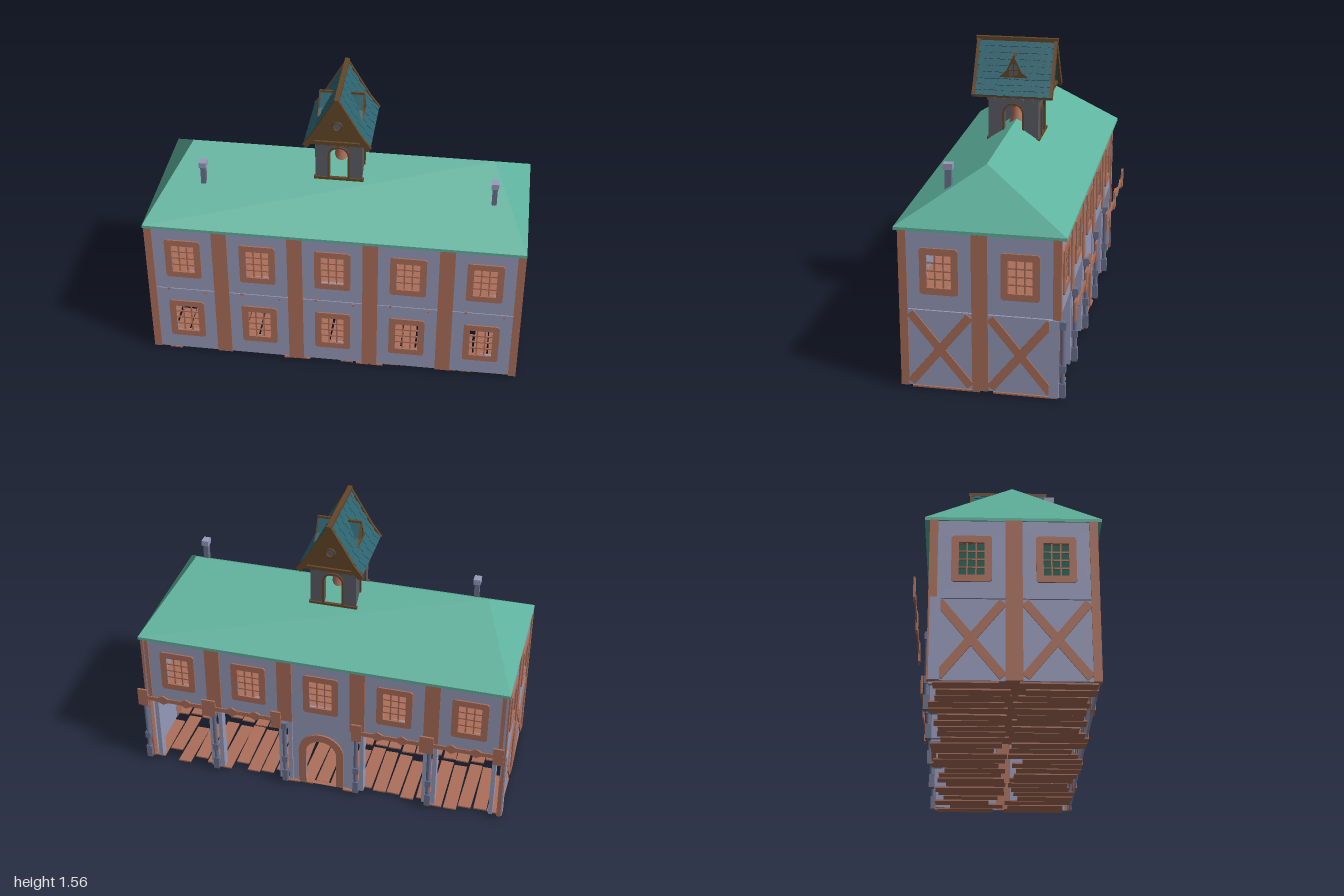
import * as THREE from 'three';

const mat = (name, color) => {
  const m = new THREE.MeshStandardMaterial({ color });
  m.name = name;
  return m;
};
const plaster = mat('lavender plaster', 0x979bbb);
const wood = mat('red timber', 0xac6f5a);
const roofGreen = mat('green roof', 0x5fb49f);
const stone = mat('tower stone', 0x5c5d66);
const slate = mat('teal shingle', 0x2c626e);
const darkWood = mat('dark wood', 0x644728);
const pipeGrey = mat('column grey', 0x6b718c);
const bellCopper = mat('bell copper', 0xb57460);

const TILE = 0.397, LOW = 0.02, MID = 0.43, TOP = 0.84, CX = -0.008, CZ = 0.022;

function add(parent, name, geo, material, x = 0, y = 0, z = 0) {
  const m = new THREE.Mesh(geo, material);
  m.name = name;
  m.position.set(x, y, z);
  parent.add(m);
  return m;
}
const box = (p, name, material, w, h, d, x, y, z) =>
  add(p, name, new THREE.BoxGeometry(w, h, d), material, x, y, z);
function group(parent, name) {
  const g = new THREE.Group();
  g.name = name;
  parent.add(g);
  return g;
}
const extrude = (shape, depth) =>
  new THREE.ExtrudeGeometry(shape, { depth, bevelEnabled: false, curveSegments: 8 });
const poly = (pts, Type = THREE.Shape) => new Type(pts.map(([x, y]) => new THREE.Vector2(x, y)));
const rect = (w, h, cx = 0, cy = 0, Type = THREE.Shape) => poly([
  [cx - w / 2, cy - h / 2], [cx + w / 2, cy - h / 2], [cx + w / 2, cy + h / 2], [cx - w / 2, cy + h / 2]], Type);
// Upright opening with a round head, standing on y0
function arch(w, h, y0, Type = THREE.Shape) {
  const s = new Type(), r = w / 2;
  s.moveTo(-r, y0);
  s.lineTo(r, y0);
  s.lineTo(r, y0 + h - r);
  s.absarc(0, y0 + h - r, r, 0, Math.PI, false);
  s.lineTo(-r, y0);
  return s;
}
function withHole(shape, hole) {
  shape.holes.push(hole);
  return shape;
}

// Plaster panel with a framed lattice window
function windowPanel(parent, x, y0, y1, wy) {
  const g = group(parent, 'windowPanel');
  g.position.x = x;
  const panel = withHole(rect(TILE, y1 - y0, 0, (y0 + y1) / 2), rect(0.12, 0.17, 0, wy, THREE.Path));
  add(g, 'plasterWall', extrude(panel, 0.012), plaster, 0, 0, -0.02);
  const frame = withHole(poly([[-0.085, wy - 0.12], [0.085, wy - 0.12], [0.095, wy - 0.11], [0.095, wy + 0.11],
    [0.085, wy + 0.12], [-0.085, wy + 0.12], [-0.095, wy + 0.11], [-0.095, wy - 0.11]]),
  rect(0.12, 0.17, 0, wy, THREE.Path));
  add(g, 'windowFrame', extrude(frame, 0.022), wood, 0, 0, -0.022);
  for (const i of [-1, 1]) box(g, 'mullion', wood, 0.007, 0.17, 0.008, i * 0.021, wy, -0.012);
  for (const i of [-1, 0, 1]) box(g, 'glazingBar', wood, 0.12, 0.007, 0.008, 0, wy + i * 0.042, -0.012);
}

// One outer wall, facing local +z
function facade(parent, name, n, lower) {
  const g = group(parent, name);
  const y0 = lower === 'open' ? MID : LOW;
  for (let i = 0; i < n; i++) {
    const x = (i - (n - 1) / 2) * TILE;
    windowPanel(g, x, MID + 0.002, TOP, 0.635);
    if (lower === 'windows') {
      windowPanel(g, x, LOW, MID - 0.002, 0.23);
      box(g, 'peg', wood, 0.012, 0.012, 0.012, x - 0.09, 0.43, -0.006);
      box(g, 'peg', wood, 0.01, 0.01, 0.012, x + 0.11, 0.418, -0.006);
    } else if (lower === 'braces') {
      box(g, 'plasterWall', plaster, TILE, MID - LOW - 0.004, 0.012, x, (MID + LOW) / 2 - 0.001, -0.014);
      for (const s of [-1, 1]) {
        const b = box(g, 'crossBrace', wood, 0.475, 0.042, 0.009, x, 0.225, -0.006 + s * 0.0005);
        b.rotation.z = s * Math.atan2(0.39, 0.31);
      }
    }
  }
  for (let i = 0; i <= n; i++) {
    const edge = i === 0 ? 1 : i === n ? -1 : 0;
    box(g, 'timberPost', wood, edge ? 0.04 : 0.08, TOP - y0, 0.022,
      (i - n / 2) * TILE + edge * 0.02, (TOP + y0) / 2, -0.011);
  }
  return g;
}

// Ground arcade and hanging boards behind the house
function arcade(parent) {
  const g = group(parent, 'arcade');
  for (let i = 0; i <= 5; i++) {
    const x = (i - 2.5) * TILE + CX;
    const edge = i === 0 ? 0.03 : i === 5 ? -0.03 : 0;
    for (const s of [-1, 1])
      box(g, 'arcadePost', plaster, 0.022, MID - LOW, 0.05, x + edge + s * 0.026, (MID + LOW) / 2, -0.342);
    if (i === 0) continue;
    const shaft = new THREE.CylinderGeometry(0.012, 0.012, 0.4, 8);
    add(g, 'columnShaft', shaft, pipeGrey, x, 0.23, -0.385);
    for (const [y, h] of [[0.41, 0.04], [0.18, 0.04], [0.065, 0.075]])
      box(g, 'columnCollar', pipeGrey, 0.03, h, 0.03, x, y, -0.385);
  }
  const door = group(g, 'archedDoorway');
  door.position.set(CX, 0, -0.37);
  door.rotation.y = Math.PI;
  add(door, 'doorWall', extrude(withHole(rect(0.32, 0.41, 0, 0.225), arch(0.17, 0.3, 0.021, THREE.Path)), 0.012),
    plaster, 0, 0, -0.02);
  add(door, 'doorFrame', extrude(withHole(arch(0.25, 0.345, 0.02), arch(0.17, 0.3, 0.021, THREE.Path)), 0.024),
    wood, 0, 0, -0.022);
  for (const s of [-1, 1]) {
    const b = group(g, 'hangingBoards');
    b.position.set(s * 0.595, 0.485, -0.44);
    box(b, 'rail', wood, 0.78, 0.025, 0.006, 0, 0, 0);
    for (const x of [-0.375, 0, 0.375]) box(b, 'plate', wood, x ? 0.055 : 0.075, 0.105, 0.01, x, 0, 0);
    for (const x of [-0.26, -0.13, 0.13, 0.26])
      add(b, 'diamond', extrude(poly([[-0.05, 0], [0, -0.028], [0.05, 0], [0, 0.028]]), 0.008), wood, x, 0, -0.004);
  }
}

// Loose, uneven floor planks in ten bays
function floor(parent) {
  const g = group(parent, 'plankFloor');
  let seed = 7;
  const rnd = () => (seed = (seed * 16807) % 2147483647) / 2147483647;
  for (let i = 0; i < 5; i++) for (let j = 0; j < 2; j++) for (let k = 0; k < 5; k++) {
    const len = 0.3 + rnd() * 0.08;
    const x = (i - 2.5) * TILE + CX + (k + 0.5) * TILE / 5;
    const p = box(g, 'plank', wood, 0.07, 0.008, len, x, 0.008 + rnd() * 0.006,
      CZ + (j - 0.5) * TILE + (rnd() - 0.5) * (TILE - len));
    p.rotation.y = (rnd() - 0.5) * 0.06;
    p.rotation.z = (rnd() - 0.5) * 0.06;
  }
}

function mainRoof(parent) {
  const v = [-1, 0.853, 0.44, 0.985, 0.853, 0.44, 0.985, 0.853, -0.4, -1, 0.853, -0.4, -0.8, 1.13, 0.02, 0.79, 1.13, 0.02];
  const geo = new THREE.BufferGeometry();
  geo.setAttribute('position', new THREE.Float32BufferAttribute(v, 3));
  geo.setIndex([0, 1, 5, 0, 5, 4, 1, 2, 5, 2, 3, 4, 2, 4, 5, 3, 0, 4]);
  const flat = geo.toNonIndexed();
  flat.computeVertexNormals();
  add(parent, 'hippedRoof', flat, roofGreen);
  box(parent, 'eaves', roofGreen, 1.985, 0.016, 0.84, -0.0075, 0.845, 0.02);
  for (const x of [-0.71, 0.8]) {
    const c = group(parent, 'chimney');
    c.position.set(x, 0, 0.208);
    box(c, 'flue', pipeGrey, 0.026, 0.13, 0.032, 0, 1.045, 0);
    box(c, 'chimneyCap', plaster, 0.038, 0.03, 0.048, 0, 1.112, 0);
  }
}

function bellTower(parent) {
  const g = group(parent, 'bellTower');
  g.position.set(CX, 0, CZ);
  // Stone walls with arched openings on all four sides
  for (let i = 0; i < 4; i++) {
    const w = group(g, 'towerSide');
    w.rotation.y = i * Math.PI / 2;
    const off = i % 2 ? 0.122 : 0.132, width = i % 2 ? 0.264 : 0.244;
    add(w, 'towerWall', extrude(withHole(rect(width, 0.24, 0, 1.16), arch(0.095, 0.185, 1.045, THREE.Path)), 0.03),
      stone, 0, 0, off - 0.03);
    add(w, 'archTrim', extrude(withHole(arch(0.115, 0.195, 1.044), arch(0.095, 0.185, 1.045, THREE.Path)), 0.008),
      darkWood, 0, 0, off);
    box(w, 'baseBeam', darkWood, width + 0.016, 0.014, 0.016, 0, 1.044, off);
    box(w, 'topBeam', darkWood, width + 0.01, 0.014, 0.012, 0, 1.272, off);
    for (let k = -2; k <= 2; k++) {
      box(w, 'beamEnd', darkWood, 0.014, 0.012, 0.02, k * 0.046, 1.024, off);
      box(w, 'corbel', stone, 0.014, 0.018, 0.02, k * 0.05, 1.255, off);
    }
  }
  // Shaft and beams hanging inside the house
  box(g, 'innerShaft', stone, 0.11, 0.27, 0.1, 0, 0.69, 0);
  for (const y of [0.61, 0.65]) box(g, 'innerBeam', darkWood, 0.13, 0.016, 0.33, 0, y, 0);

  const bellProfile = [[0, 1.215], [0.02, 1.212], [0.029, 1.19], [0.032, 1.14], [0.046, 1.095], [0.041, 1.095], [0, 1.17]]
    .reverse().map(([x, y]) => new THREE.Vector2(x, y));
  add(g, 'bell', new THREE.LatheGeometry(bellProfile, 20), bellCopper);
  box(g, 'bellYoke', darkWood, 0.2, 0.016, 0.016, 0, 1.222, 0);

  // Steep shingled gable roof with slightly flared eaves
  const slope = [[0, 1.542], [0.115, 1.345], [0.16, 1.285]];
  const at = t => {
    const k = t < 0.72 ? 0 : 1, u = k ? (t - 0.72) / 0.28 : t / 0.72;
    return [0, 1].map(c => slope[k][c] + (slope[k + 1][c] - slope[k][c]) * u);
  };
  for (const s of [-1, 1]) {
    const side = group(g, 'roofSlope');
    if (s < 0) side.rotation.y = Math.PI;
    for (let k = 0; k < 2; k++) {
      const [a, b] = [slope[k], slope[k + 1]];
      const ang = Math.atan2(b[1] - a[1], b[0] - a[0]), len = Math.hypot(b[0] - a[0], b[1] - a[1]);
      const mx = (a[0] + b[0]) / 2, my = (a[1] + b[1]) / 2;
      box(side, 'roofDeck', slate, len, 0.012, 0.4, mx, my, 0).rotation.z = ang;
      for (const e of [-1, 1])
        box(side, 'bargeBoard', darkWood, len + 0.012, 0.03, 0.016, mx, my, e * 0.204).rotation.z = ang;
    }
    for (let r = 0; r < 9; r++) {
      const [x, y] = at((r + 0.5) / 9), [x2, y2] = at((r + 0.9) / 9);
      const ang = Math.atan2(y2 - y, x2 - x) + 0.1;
      for (let k = 0; k < 11; k++)
        box(side, 'shingle', slate, 0.036, 0.006, 0.033, x + 0.006, y + 0.005 - (k % 2) * 0.002,
          (k - 5) * 0.035 + (r % 2 ? 0.006 : -0.006)).rotation.z = ang;
    }
    box(side, 'eaveBoard', darkWood, 0.016, 0.012, 0.42, 0.158, 1.282, 0);
    // Dormer
    const d = group(side, 'dormer');
    d.rotation.y = Math.PI / 2;
    const tri = (w, y0, y1, T) => poly([[-w, y0], [w, y0], [w * 0.55, y0 + 0.03], [0, y1], [-w * 0.55, y0 + 0.03]], T);
    add(d, 'dormerRoof', extrude(tri(0.072, 1.378, 1.482), 0.085), slate, 0, 0, 0.025);
    add(d, 'dormerFrame', extrude(withHole(tri(0.075, 1.374, 1.49), arch(0.046, 0.06, 1.386, THREE.Path)), 0.008),
      darkWood, 0, 0, 0.109);
    add(d, 'dormerWindow', extrude(arch(0.046, 0.06, 1.386), 0.003), stone, 0, 0, 0.109);
    box(d, 'dormerMullion', darkWood, 0.005, 0.06, 0.006, 0, 1.416, 0.112);
    box(d, 'dormerBar', darkWood, 0.046, 0.005, 0.006, 0, 1.412, 0.112);
    box(d, 'dormerRidge', darkWood, 0.012, 0.01, 0.09, 0, 1.484, 0.07);
  }
  box(g, 'ridgeBeam', darkWood, 0.024, 0.02, 0.435, 0, 1.552, 0);
  // Boarded gables with a round vent
  for (const e of [0, Math.PI]) {
    const gable = group(g, 'gable');
    gable.rotation.y = e;
    add(gable, 'gableBoards', extrude(poly([[-0.145, 1.287], [0.145, 1.287], [0.112, 1.342], [0, 1.535], [-0.112, 1.342]]), 0.02),
      darkWood, 0, 0, 0.16);
    add(gable, 'ventRing', new THREE.TorusGeometry(0.024, 0.005, 6, 16), darkWood, 0, 1.39, 0.182);
    add(gable, 'vent', new THREE.CircleGeometry(0.022, 16), stone, 0, 1.39, 0.182);
    box(gable, 'tieBeam', darkWood, 0.29, 0.018, 0.014, 0, 1.292, 0.185);
    for (let k = -2; k <= 2; k++) box(gable, 'gableBracket', darkWood, 0.012, 0.025, 0.03, k * 0.05, 1.272, 0.15);
  }
}

export function createModel() {
  const model = new THREE.Group();
  model.name = 'timberHall';
  facade(model, 'frontWall', 5, 'windows').position.set(CX, 0, 0.42);
  const back = facade(model, 'backWall', 5, 'open');
  back.position.set(CX, 0, -0.374);
  back.rotation.y = Math.PI;
  for (const s of [-1, 1]) {
    const w = facade(model, s > 0 ? 'leftWall' : 'rightWall', 2, 'braces');
    w.position.set(CX + s * 0.993, 0, CZ);
    w.rotation.y = s * Math.PI / 2;
  }
  box(model, 'upperFloor', wood, 1.95, 0.01, 0.76, CX, 0.428, CZ);
  arcade(model);
  floor(model);
  mainRoof(model);
  bellTower(model);
  return model;
}
